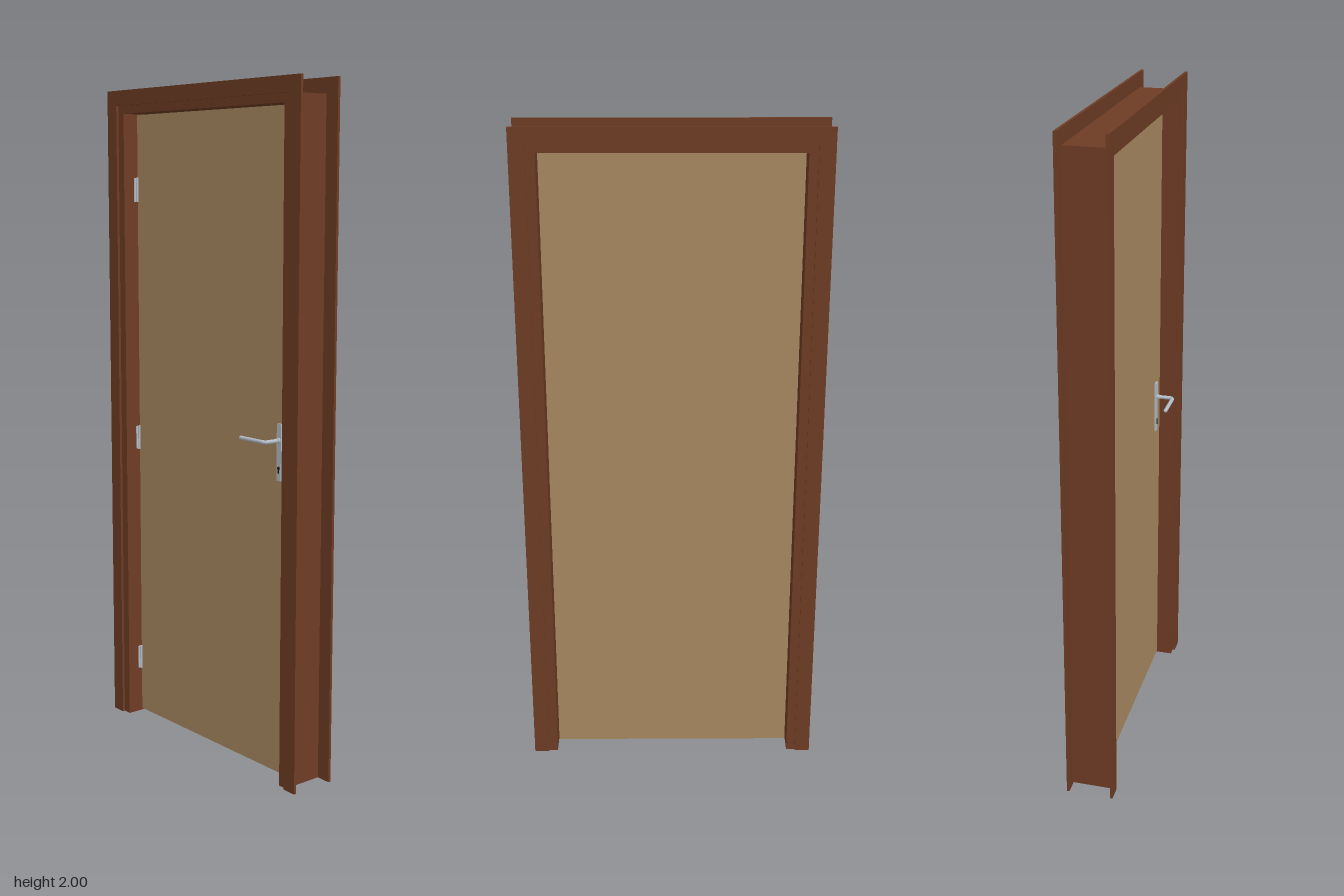
import * as THREE from 'three';

const mat = (name, color) => new THREE.MeshStandardMaterial({ name, color });

export function createModel() {
  const wood = mat('brownWood', 0x6e3c24);
  const tan = mat('tanPanel', 0xa88861);
  const metal = mat('satinMetal', 0xb4bcc6);
  const dark = mat('keyholeDark', 0x1c1c1e);
  const model = new THREE.Group();
  model.name = 'doorway';

  const add = (parent, name, geometry, material, x = 0, y = 0, z = 0) => {
    const mesh = new THREE.Mesh(geometry, material);
    mesh.name = name;
    mesh.position.set(x, y, z);
    parent.add(mesh);
    return mesh;
  };

  // Upside-down U outline, extruded between two depths
  const arch = (outer, outerTop, inner, innerTop, depth) => {
    const s = new THREE.Shape([
      [-outer, 0], [-inner, 0], [-inner, innerTop], [inner, innerTop],
      [inner, 0], [outer, 0], [outer, outerTop], [-outer, outerTop],
    ].map(([x, y]) => new THREE.Vector2(x, y)));
    return new THREE.ExtrudeGeometry(s, { depth, bevelEnabled: false });
  };

  // Casings on both faces, and the jamb lining between them
  add(model, 'frontCasing', arch(0.443, 2, 0.397, 1.955, 0.008), wood, 0, 0, 0.06);
  add(model, 'backCasing', arch(0.443, 2, 0.397, 1.955, 0.008), wood, 0, 0, -0.075);
  add(model, 'jamb', arch(0.398, 1.956, 0.37, 1.93, 0.13), wood, 0, 0, -0.07);

  // Door leaf
  const zBack = -0.02, zFront = 0.01;
  add(model, 'doorLeaf', new THREE.BoxGeometry(0.736, 1.921, zFront - zBack), tan,
    0, 0.9675, (zFront + zBack) / 2);

  // Hinges on the model's right edge
  for (const y of [0.185, 0.918, 1.7]) {
    const hinge = new THREE.Group();
    hinge.name = 'hinge';
    hinge.position.set(-0.367, y, zFront);
    add(hinge, 'hingeBarrel', new THREE.CylinderGeometry(0.004, 0.004, 0.076, 12), metal, 0, 0, 0.003);
    add(hinge, 'hingeLeaf', new THREE.BoxGeometry(0.002, 0.074, 0.014), metal, -0.002, 0, 0.006);
    model.add(hinge);
  }

  // Lever handle on the front face
  const handle = new THREE.Group();
  handle.name = 'handle';
  handle.position.set(0.308, 1, zFront);
  const w = 0.009, plate = new THREE.Shape();
  plate.moveTo(-w, -0.117);
  plate.lineTo(w, -0.117);
  plate.lineTo(w, 0.048);
  plate.lineTo(-w, 0.048);
  add(handle, 'handlePlate',
    new THREE.ExtrudeGeometry(plate, { depth: 0.006, bevelEnabled: false }), metal);
  const collar = add(handle, 'handleCollar', new THREE.CylinderGeometry(0.008, 0.008, 0.008, 16), metal, 0, 0, 0.009);
  collar.rotation.x = Math.PI / 2;

  // Neck and grip bent from one rod
  const path = new THREE.CurvePath();
  const v = (x, z) => new THREE.Vector3(x, 0, z);
  path.add(new THREE.LineCurve3(v(0, 0.004), v(0, 0.046)));
  path.add(new THREE.QuadraticBezierCurve3(v(0, 0.046), v(0, 0.058), v(-0.012, 0.058)));
  path.add(new THREE.LineCurve3(v(-0.012, 0.058), v(-0.104, 0.058)));
  add(handle, 'handleLever', new THREE.TubeGeometry(path, 40, 0.006, 12), metal);
  add(handle, 'leverTip', new THREE.SphereGeometry(0.006, 12, 8), metal, -0.104, 0, 0.058);

  // Keyhole: round top with a slot below
  const hole = add(handle, 'keyholeRound', new THREE.CylinderGeometry(0.005, 0.005, 0.002, 16), dark, 0, -0.08, 0.0065);
  hole.rotation.x = Math.PI / 2;
  add(handle, 'keyholeSlot', new THREE.BoxGeometry(0.005, 0.014, 0.002), dark, 0, -0.088, 0.0065);
  model.add(handle);

  return model;
}
